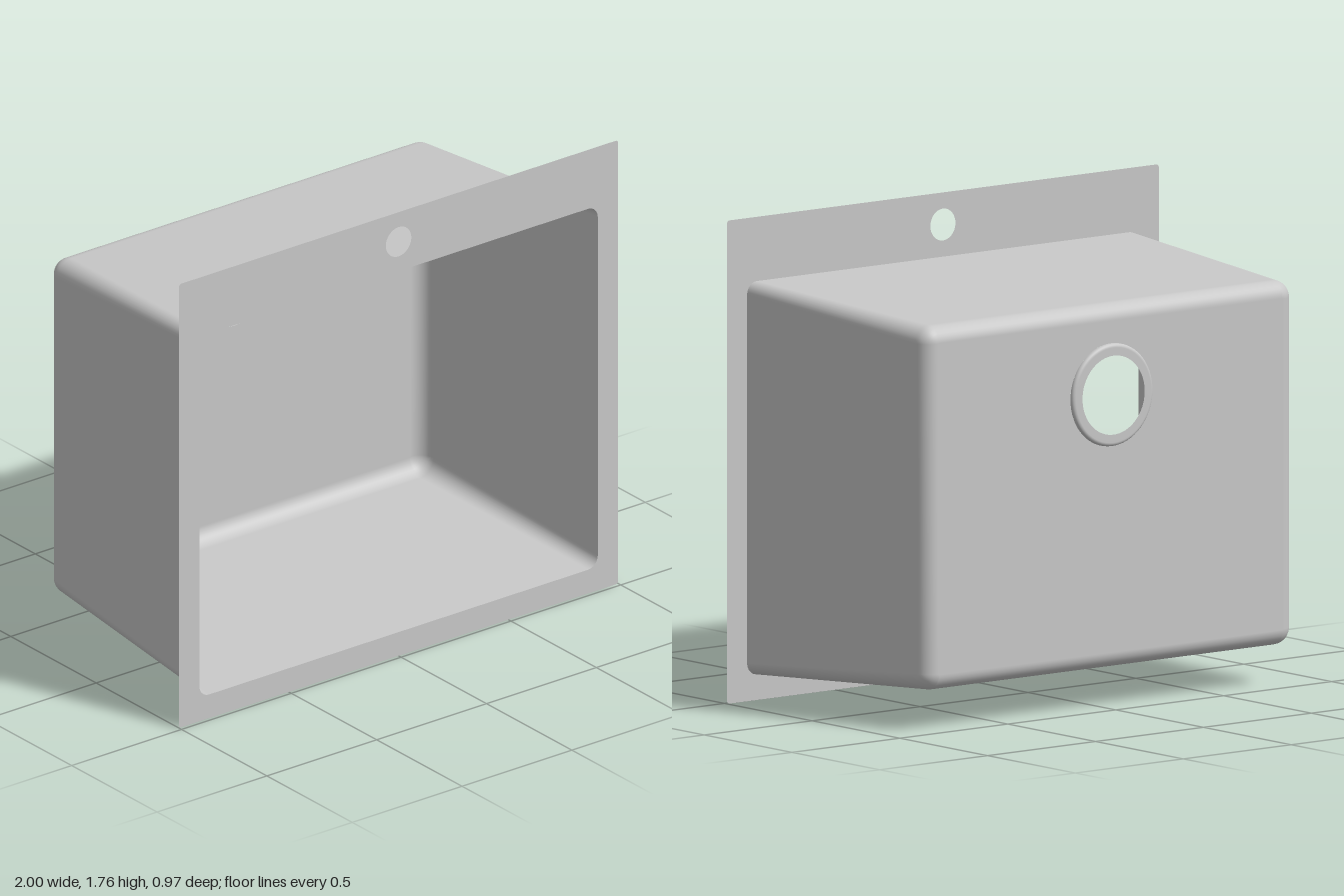
import * as THREE from 'three';

const RIM_Z = 0.485, FLOOR_Z = -0.472, FILLET = 0.06, MID_Y = 0.81;
const DRAIN_Y = 1.145, DRAIN_R = 0.187, STEPS = 8;

// Counter-clockwise outline of a rounded rectangle
function roundedRect(halfW, halfH, r, cy) {
  const points = [];
  const corners = [[1, 1], [-1, 1], [-1, -1], [1, -1]];
  corners.forEach(([sx, sy], c) => {
    for (let i = 0; i <= STEPS; i++) {
      const a = (c + i / STEPS) * Math.PI / 2;
      points.push(new THREE.Vector2(
        sx * (halfW - r) + r * Math.cos(a),
        cy + sy * (halfH - r) + r * Math.sin(a)));
    }
  });
  return points;
}

function circleHole(cy, r) {
  return new THREE.Path().absarc(0, cy, r, 0, Math.PI * 2, true);
}

// Flat sheet from an outline with holes, facing +z
function sheet(outline, holes, z) {
  const shape = new THREE.Shape(outline);
  shape.holes.push(...holes);
  return new THREE.ShapeGeometry(shape, 48).translate(0, 0, z);
}

// Skin joining rings of equal length, listed from front to back
function loft(rings) {
  const n = rings[0].points.length, position = [], index = [];
  rings.forEach(({ points, z }, k) => {
    points.forEach((p, i) => {
      position.push(p.x, p.y, z);
      if (k === rings.length - 1) return;
      const a = k * n + i, b = k * n + (i + 1) % n;
      index.push(a, b, a + n, b, b + n, a + n);
    });
  });
  const geometry = new THREE.BufferGeometry();
  geometry.setAttribute('position', new THREE.Float32BufferAttribute(position, 3));
  geometry.setIndex(index);
  geometry.computeVertexNormals();
  // the last ring runs smoothly into the flat floor
  const normal = geometry.attributes.normal;
  for (let i = normal.count - n; i < normal.count; i++) normal.setXYZ(i, 0, 0, 1);
  return geometry;
}

export function createModel() {
  const group = new THREE.Group();
  const steel = new THREE.MeshStandardMaterial({ color: 0xc8c8c8, side: THREE.DoubleSide });
  steel.name = 'steel grey';
  const add = (name, geometry) => {
    const mesh = new THREE.Mesh(geometry, steel);
    mesh.name = name;
    group.add(mesh);
    return mesh;
  };

  // Rim plate with basin opening and tap hole
  const opening = roundedRect(0.907, 0.716, 0.045, MID_Y);
  add('rim', sheet(roundedRect(1, 0.88, 0.012, 0.88),
    [new THREE.Path(opening.slice().reverse()), circleHole(1.643, 0.058)], RIM_Z));

  // Tapered walls, then a fillet rolling into the floor
  const rings = [{ points: opening, z: RIM_Z }];
  for (let i = 0; i <= STEPS; i++) {
    const a = i / STEPS * Math.PI / 2;
    const inset = FILLET * (1 - Math.cos(a));
    rings.push({
      points: roundedRect(0.857 - inset, 0.664 - inset, 0.063 - inset, MID_Y),
      z: FLOOR_Z + FILLET * (1 - Math.sin(a)),
    });
  }
  add('basinWalls', loft(rings));

  // Floor with drain opening
  add('basinFloor', sheet(rings[rings.length - 1].points, [circleHole(DRAIN_Y, DRAIN_R)], FLOOR_Z));

  // Shallow drain recess with a rounded edge and an open centre
  const profile = [new THREE.Vector2(DRAIN_R, FLOOR_Z)];
  for (let i = 0; i <= 5; i++) {
    const a = i / 5 * Math.PI / 2;
    profile.push(new THREE.Vector2(DRAIN_R - 0.014 * (1 - Math.cos(a)), -0.476 - 0.012 * Math.sin(a)));
  }
  profile.push(new THREE.Vector2(0.144, -0.488));
  const drain = add('drainRecess', new THREE.LatheGeometry(profile.reverse(), 64));
  drain.rotation.x = Math.PI / 2;
  drain.position.y = DRAIN_Y;

  return group;
}
